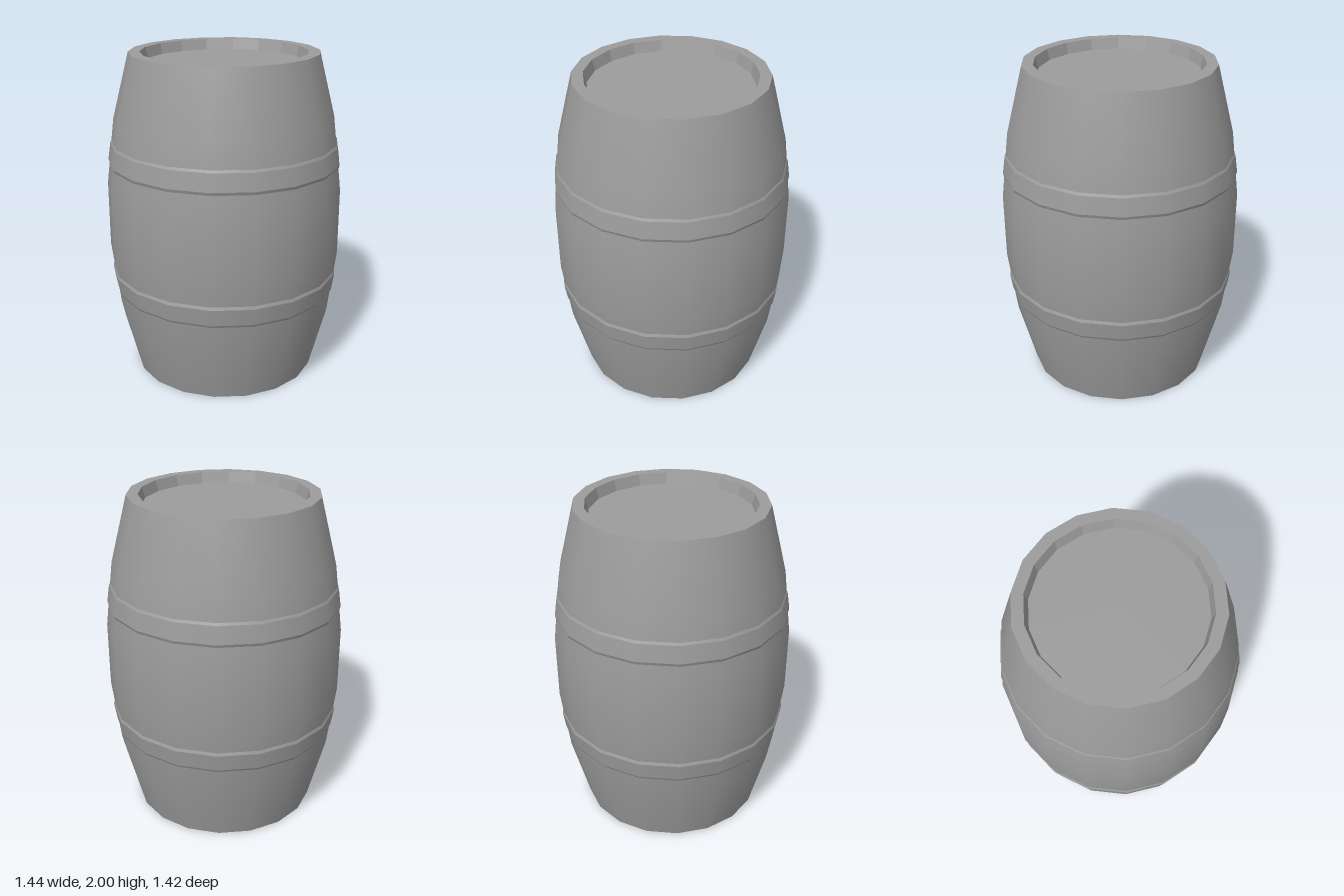
import * as THREE from 'three';
import { mergeGeometries } from 'three/addons/utils/BufferGeometryUtils.js';

const SIDES = 18;
const COLOR = 0x9c9c9c;
const smooth = new THREE.MeshStandardMaterial({ color: COLOR });
const faceted = new THREE.MeshStandardMaterial({ color: COLOR, flatShading: true });

// Revolve a profile of [radius, height] points, with a corner on the x axis
function revolve(profile) {
  const points = profile.map(([r, y]) => new THREE.Vector2(r, y));
  const geometry = new THREE.LatheGeometry(points, SIDES, Math.PI / 2);
  geometry.normalizeNormals();
  return geometry;
}

function part(name, geometry, material) {
  const mesh = new THREE.Mesh(geometry, material);
  mesh.name = name;
  return mesh;
}

// Hoop: each profile segment is revolved on its own so its edges stay sharp
function hoop(name, profile) {
  const strips = profile.slice(1).map((p, i) => revolve([profile[i], p]));
  return part(name, mergeGeometries(strips), smooth);
}

export function createModel() {
  const barrel = new THREE.Group();
  barrel.name = 'barrel';

  // Bulging staves, smooth all round
  barrel.add(part('staves', revolve([
    [0.567, 0], [0.67, 0.4], [0.72, 0.8], [0.72, 1.2], [0.67, 1.6], [0.567, 2],
  ]), smooth));

  // Recessed lid and base, each with its rim
  barrel.add(part('lid', revolve([
    [0.567, 2], [0.5, 2], [0.482, 1.935], [0, 1.935],
  ]), faceted));
  barrel.add(part('base', revolve([
    [0, 0.045], [0.51, 0.045], [0.522, 0], [0.567, 0],
  ]), faceted));

  // Two hoops with shallow bevels sunk into the staves, mirrored about mid-height
  const hoopProfile = [[0.681, 0.52], [0.694, 0.545], [0.71, 0.65], [0.7, 0.678]];
  barrel.add(hoop('lowerHoop', hoopProfile));
  barrel.add(hoop('upperHoop', hoopProfile.map(([r, y]) => [r, 2 - y]).reverse()));

  return barrel;
}
